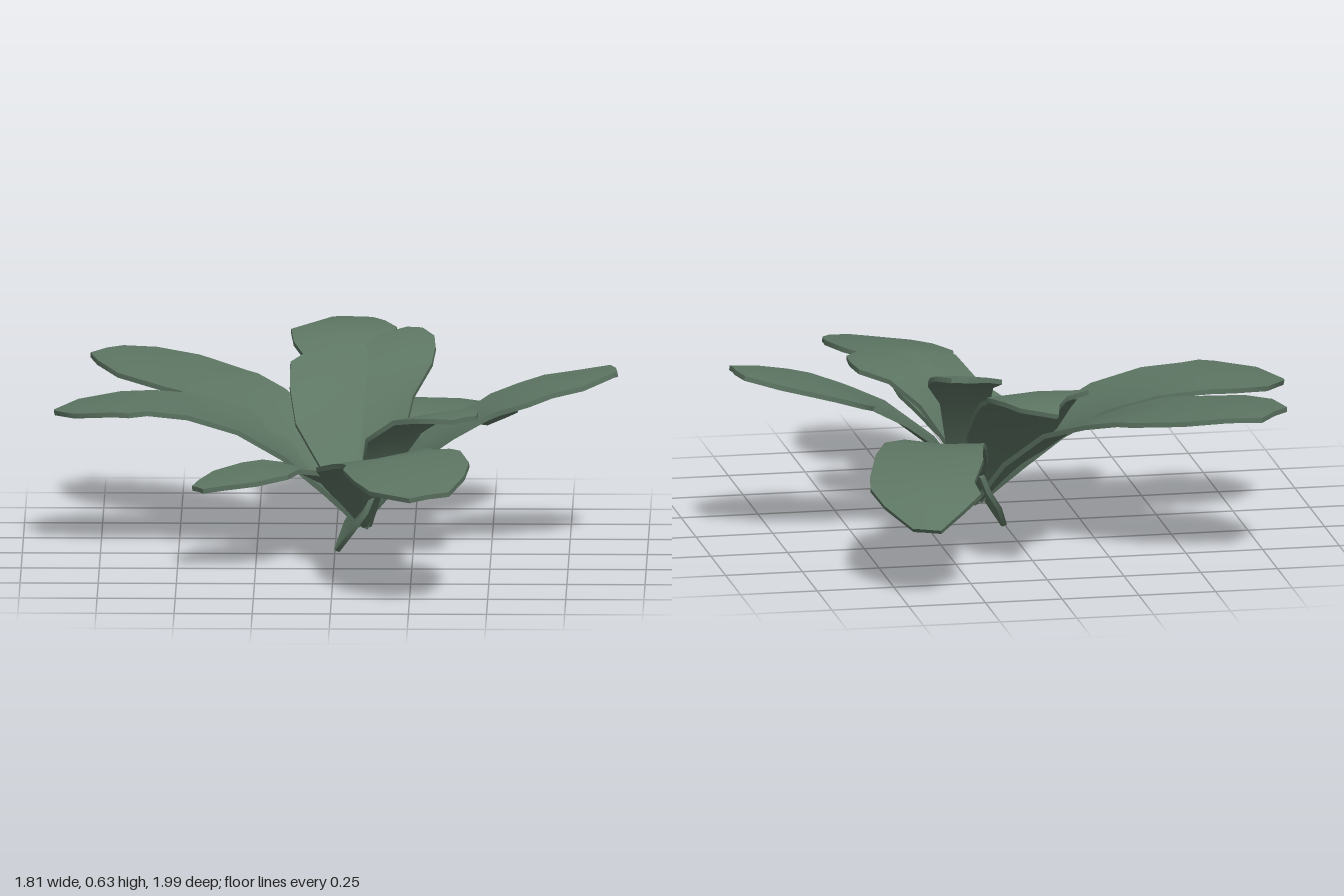
import * as THREE from 'three';
import { toCreasedNormals } from 'three/addons/utils/BufferGeometryUtils.js';

// Each leaf: stations from base to tip as [x, y, z, width on its left, width on its right]
const LEAVES = {
  frontLeaf: [
    [0.10, 0.09, -0.04, 0.015, 0.015], [0.08, 0.23, 0.08, 0.08, 0.09], [0.10, 0.32, 0.18, 0.16, 0.15],
    [0.12, 0.355, 0.26, 0.18, 0.18], [0.14, 0.385, 0.36, 0.17, 0.14], [0.185, 0.425, 0.55, 0.14, 0.15],
    [0.19, 0.428, 0.57, 0.19, 0.15], [0.21, 0.43, 0.62, 0.205, 0.18], [0.25, 0.42, 0.76, 0.195, 0.18],
    [0.28, 0.405, 0.87, 0.15, 0.16], [0.31, 0.385, 0.985, 0.07, 0.06]],
  rightLeaf: [
    [0.09, 0.08, -0.04, 0.015, 0.015], [0.13, 0.17, -0.05, 0.07, 0.06],
    [0.21, 0.28, -0.08, 0.14, 0.12], [0.36, 0.395, -0.08, 0.14, 0.16], [0.47, 0.455, -0.08, 0.13, 0.13],
    [0.51, 0.475, -0.08, 0.17, 0.13], [0.60, 0.51, -0.10, 0.17, 0.17], [0.68, 0.535, -0.11, 0.17, 0.15],
    [0.78, 0.555, -0.12, 0.13, 0.14], [0.885, 0.58, -0.135, 0.07, 0.065], [0.90, 0.582, -0.11, 0.03, 0.04]],
  backRightLeaf: [
    [0.10, 0.12, -0.05, 0.015, 0.015], [0.16, 0.25, -0.16, 0.08, 0.09], [0.23, 0.34, -0.29, 0.12, 0.14],
    [0.27, 0.38, -0.41, 0.13, 0.13], [0.29, 0.39, -0.49, 0.13, 0.19], [0.34, 0.385, -0.60, 0.16, 0.19],
    [0.39, 0.355, -0.76, 0.15, 0.19], [0.41, 0.335, -0.82, 0.18, 0.18], [0.44, 0.30, -0.90, 0.14, 0.12],
    [0.46, 0.245, -0.97, 0.07, 0.02]],
  backLeaf: [
    [0.09, 0.11, -0.05, 0.015, 0.015], [0.06, 0.24, -0.13, 0.10, 0.09], [0.04, 0.37, -0.26, 0.17, 0.13],
    [0.03, 0.47, -0.38, 0.18, 0.14], [0.03, 0.53, -0.49, 0.18, 0.14], [0.02, 0.55, -0.53, 0.13, 0.14],
    [0.02, 0.58, -0.60, 0.16, 0.15], [0.02, 0.605, -0.69, 0.17, 0.17], [0.01, 0.61, -0.78, 0.07, 0.14],
    [0.01, 0.605, -0.86, 0.03, 0.10], [0.0, 0.59, -0.92, 0.005, 0.005]],
  innerBackLeaf: [
    [0.11, 0.12, -0.06, 0.015, 0.015], [0.14, 0.30, -0.14, 0.06, 0.07], [0.17, 0.47, -0.24, 0.08, 0.08],
    [0.20, 0.56, -0.35, 0.10, 0.11], [0.22, 0.60, -0.44, 0.13, 0.10], [0.235, 0.62, -0.50, 0.09, 0.08],
    [0.25, 0.63, -0.56, 0.03, 0.025]],
  backLeftLeaf: [
    [0.09, 0.10, -0.05, 0.015, 0.015], [-0.03, 0.24, -0.12, 0.10, 0.10], [-0.16, 0.37, -0.24, 0.16, 0.15],
    [-0.29, 0.435, -0.36, 0.18, 0.19], [-0.39, 0.47, -0.44, 0.17, 0.21], [-0.43, 0.48, -0.475, 0.18, 0.21],
    [-0.57, 0.505, -0.60, 0.20, 0.20], [-0.67, 0.52, -0.69, 0.15, 0.14], [-0.74, 0.52, -0.755, 0.08, 0.08]],
  leftLeaf: [
    [0.09, 0.09, -0.04, 0.015, 0.015], [-0.04, 0.22, -0.05, 0.10, 0.10], [-0.16, 0.33, -0.06, 0.16, 0.15],
    [-0.30, 0.415, -0.07, 0.17, 0.18], [-0.46, 0.465, -0.08, 0.17, 0.20], [-0.59, 0.48, -0.08, 0.16, 0.20],
    [-0.65, 0.482, -0.08, 0.19, 0.19], [-0.70, 0.48, -0.08, 0.17, 0.19], [-0.83, 0.465, -0.08, 0.12, 0.13],
    [-0.90, 0.45, -0.085, 0.01, 0.01]],
  innerFrontLeaf: [
    [0.10, 0.11, -0.04, 0.015, 0.015], [0.14, 0.28, 0.0, 0.07, 0.07], [0.19, 0.40, 0.06, 0.11, 0.12],
    [0.27, 0.475, 0.13, 0.12, 0.11], [0.35, 0.50, 0.205, 0.13, 0.12], [0.395, 0.505, 0.26, 0.09, 0.09],
    [0.42, 0.505, 0.305, 0.05, 0.05]],
  frontLeftLeaf: [
    [0.09, 0.10, -0.04, 0.015, 0.015], [0.0, 0.24, 0.05, 0.07, 0.07], [-0.10, 0.305, 0.13, 0.09, 0.09],
    [-0.17, 0.325, 0.18, 0.10, 0.10], [-0.23, 0.325, 0.225, 0.14, 0.11], [-0.32, 0.31, 0.28, 0.12, 0.11],
    [-0.39, 0.295, 0.33, 0.06, 0.07], [-0.435, 0.285, 0.355, 0.03, 0.03]],
  baseBract: [
    [0.0, 0.005, -0.04, 0.015, 0.015], [0.04, 0.08, -0.04, 0.09, 0.09],
    [0.08, 0.15, -0.045, 0.12, 0.11], [0.10, 0.20, -0.05, 0.12, 0.11]]
};

// Sideways lean: rise of a leaf's left edge per unit of width
const ROLL = { frontLeaf: 0.13 };

const UP = new THREE.Vector3(0, 1, 0);
const ACROSS = [-1, -0.5, 0, 0.5, 1];
const THICK = 0.016;

// Thin closed blade, channelled at the base and arched towards the tip
function leafGeometry(stations, roll) {
  const spine = stations.map(s => new THREE.Vector3(s[0], s[1], s[2]));
  const n = spine.length, pos = [], index = [];
  const heading = spine[n - 1].clone().sub(spine[0]).setY(0).normalize();
  const side = new THREE.Vector3().crossVectors(UP, heading).setY(roll).normalize();
  stations.forEach(([, , , left, right], i) => {
    const along = spine[Math.min(i + 1, n - 1)].clone().sub(spine[Math.max(i - 1, 0)]);
    along.addScaledVector(side, -along.dot(side)).normalize();
    const normal = new THREE.Vector3().crossVectors(along, side);
    const fold = 0.2 - 0.25 * Math.min(1, i / (n - 1) * 1.6);
    const place = (u, drop) => {
      const w = u > 0 ? left : right;
      const p = spine[i].clone().addScaledVector(side, u * w)
        .addScaledVector(normal, fold * (w * Math.abs(u) - (left + right) / 4) - drop);
      pos.push(p.x, Math.max(p.y, 0), p.z);
    };
    ACROSS.forEach(u => place(u, 0));
    [...ACROSS].reverse().forEach(u => place(u, THICK));
  });
  for (let i = 0; i < n - 1; i++) {
    for (let j = 0; j < 10; j++) {
      const a = i * 10 + j, b = i * 10 + (j + 1) % 10;
      index.push(a, a + 10, b, b, a + 10, b + 10);
    }
  }
  // End caps
  const t = (n - 1) * 10;
  for (let j = 0; j < 4; j++) {
    index.push(t + j, t + 9 - j, t + j + 1, t + j + 1, t + 9 - j, t + 8 - j);
    index.push(j, j + 1, 9 - j, j + 1, 8 - j, 9 - j);
  }
  const g = new THREE.BufferGeometry();
  g.setAttribute('position', new THREE.Float32BufferAttribute(pos, 3));
  g.setIndex(index);
  return toCreasedNormals(g, 0.7);
}

export function createModel() {
  const group = new THREE.Group();
  group.name = 'leafyPlant';
  const material = new THREE.MeshStandardMaterial({ color: 0x5d7563, side: THREE.DoubleSide });
  for (const [name, stations] of Object.entries(LEAVES)) {
    const leaf = new THREE.Mesh(leafGeometry(stations, ROLL[name] ?? 0), material);
    leaf.name = name;
    group.add(leaf);
  }
  // Pointed stem ends gathered under the leaves
  for (let i = 0; i < 5; i++) {
    const a = i / 5 * Math.PI * 2;
    const stem = new THREE.Mesh(new THREE.ConeGeometry(0.014, 0.13, 5), material);
    stem.name = 'stemEnd';
    stem.position.set(0.105 + 0.025 * Math.cos(a), 0.14, -0.045 + 0.035 * Math.sin(a));
    stem.rotation.set(Math.PI + 0.25 * Math.sin(a), 0, 0.25 * Math.cos(a));
    group.add(stem);
  }
  return group;
}
